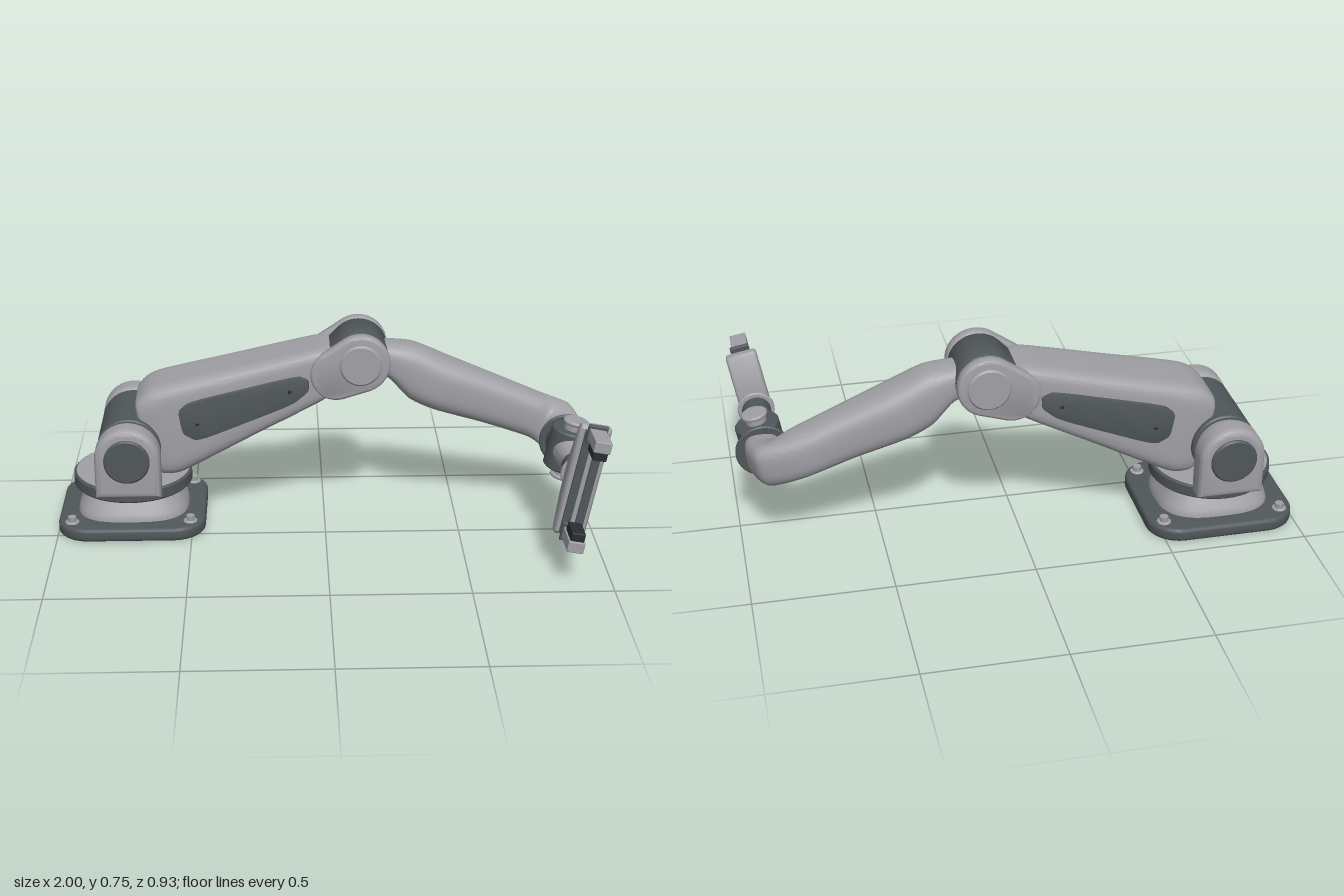
import * as THREE from 'three';
import { toCreasedNormals } from 'three/addons/utils/BufferGeometryUtils.js';
import { RoundedBoxGeometry } from 'three/addons/geometries/RoundedBoxGeometry.js';

const V = (x, y, z) => new THREE.Vector3(x, y, z);
const mat = (name, color) => Object.assign(new THREE.MeshStandardMaterial({ color }), { name });
const CX = -0.725, CZ = -0.19; // base centre; the arm lies in the plane z = CZ

export function createModel() {
  const light = mat('lightGrey', 0xa0a0a5);
  const dark = mat('darkGrey', 0x50575a);
  const rubber = mat('blackRubber', 0x2b2c2e);
  const root = new THREE.Group();
  root.name = 'roboticArm';

  const add = (name, geo, material, parent = root) => {
    const m = new THREE.Mesh(geo, material);
    m.name = name;
    parent.add(m);
    return m;
  };

  // Cylinder between a and b along one axis, with a small chamfer
  const disc = (name, axis, pos, r, a, b, material, parent = root, r2 = r) => {
    const c = Math.min(0.006, (b - a) * 0.3);
    const pts = [[0, a], [r - c, a], [r, a + c], [r2, b - c], [r2 - c, b], [0, b]];
    let g = new THREE.LatheGeometry(pts.map(p => new THREE.Vector2(...p)), 48);
    if (axis === 'z') g.rotateX(Math.PI / 2);
    g = toCreasedNormals(g, 0.5);
    g.translate(...pos);
    return add(name, g, material, parent);
  };

  // Extruded outline from z0 to z1 with bevelled rims
  const slab = (shape, z0, z1, bevel, segs = 4) => {
    const g = new THREE.ExtrudeGeometry(shape, {
      depth: z1 - z0 - 2 * bevel, bevelThickness: bevel, bevelSize: bevel,
      bevelOffset: -bevel, bevelSegments: segs, curveSegments: 28,
    });
    g.translate(0, 0, z0 + bevel);
    return toCreasedNormals(g, 0.6);
  };

  const roundRect = (hx, hy, r) => {
    const s = new THREE.Shape();
    s.absarc(hx - r, hy - r, r, 0, Math.PI / 2);
    s.absarc(-hx + r, hy - r, r, Math.PI / 2, Math.PI);
    s.absarc(-hx + r, -hy + r, r, Math.PI, Math.PI * 1.5);
    s.absarc(hx - r, -hy + r, r, Math.PI * 1.5, Math.PI * 2);
    return s;
  };

  // Outline wrapped round two circles
  const wrap = (x1, y1, r1, x2, y2, r2) => {
    const phi = Math.atan2(y2 - y1, x2 - x1);
    const beta = Math.acos((r1 - r2) / Math.hypot(x2 - x1, y2 - y1));
    const s = new THREE.Shape();
    s.absarc(x1, y1, r1, phi + beta, phi - beta + Math.PI * 2);
    s.absarc(x2, y2, r2, phi - beta, phi + beta);
    return s;
  };

  // Superellipse loft; each section is [centre, half-side vector, half-up vector]
  const loft = (sections, power, steps, n = 48) => {
    const curves = [0, 1, 2].map(k =>
      new THREE.CatmullRomCurve3(sections.map(s => s[k]), false, 'catmullrom', 0.35));
    const pos = [], idx = [];
    const f = v => Math.sign(v) * Math.abs(v) ** (2 / power);
    for (let i = 0; i <= steps; i++) {
      const [c, s, u] = curves.map(k => k.getPoint(i / steps));
      for (let j = 0; j < n; j++) {
        const a = (j / n) * Math.PI * 2;
        pos.push(...c.clone().addScaledVector(s, f(Math.cos(a))).addScaledVector(u, f(Math.sin(a))));
      }
    }
    pos.push(...sections[0][0], ...sections.at(-1)[0]);
    const end = (steps + 1) * n;
    for (let j = 0; j < n; j++) {
      const k = (j + 1) % n;
      for (let i = 0; i < steps; i++) {
        const a = i * n + j, b = i * n + k;
        idx.push(a, b, b + n, a, b + n, a + n);
      }
      idx.push(end, k, j, end + 1, steps * n + j, steps * n + k);
    }
    const g = new THREE.BufferGeometry();
    g.setAttribute('position', new THREE.Float32BufferAttribute(pos, 3));
    g.setIndex(idx);
    return toCreasedNormals(g, 0.7);
  };

  // Base plate, bolts, pedestal and turntable
  const plate = slab(roundRect(0.275, 0.253, 0.12), 0, 0.05, 0.013, 3);
  plate.rotateX(-Math.PI / 2);
  add('basePlate', plate, dark).position.set(CX, 0, CZ);
  for (const sx of [-1, 1]) for (const sz of [-1, 1]) {
    const p = [CX + sx * 0.22, 0, CZ + sz * 0.18];
    disc('boltWasher', 'y', p, 0.026, 0.045, 0.056, light);
    add('baseBolt', new THREE.CylinderGeometry(0.017, 0.017, 0.03, 6).toNonIndexed(), light)
      .position.set(p[0], 0.058, p[2]);
  }
  const ring = (y, hx, hz) => [V(CX, y, CZ), V(0, 0, hz), V(hx, 0, 0)];
  add('pedestal', loft([ring(0.045, 0.21, 0.19), ring(0.07, 0.203, 0.184),
    ring(0.12, 0.178, 0.157), ring(0.147, 0.165, 0.145)], 2.9, 12), light);
  disc('turntable', 'y', [CX, 0, CZ], 0.223, 0.143, 0.193, dark);
  disc('turntableTop', 'y', [CX, 0, CZ], 0.214, 0.188, 0.196, light);

  // Shoulder drum with a yoke on each side
  const SY = 0.33;
  disc('shoulderDrum', 'z', [CX, SY, CZ], 0.118, -0.155, 0.155, dark);
  const arch = new THREE.Shape();
  arch.moveTo(-0.12, -0.15);
  arch.lineTo(0.12, -0.15);
  arch.lineTo(0.12, 0);
  arch.absarc(0, 0, 0.12, 0, Math.PI);
  for (const s of [-1, 1]) {
    add('shoulderYoke', slab(arch, -0.05, 0.05, 0.024, 6), light).position.set(CX, SY, CZ + s * 0.215);
    const side = (a, b) => (s > 0 ? [a, b] : [-b, -a]);
    disc('shoulderCollar', 'z', [CX, SY, CZ], 0.105, ...side(0.14, 0.17), light);
    disc('shoulderCap', 'z', [CX, SY, CZ], 0.084, ...side(0.255, 0.276), dark);
  }

  // Upper arm, given by its top and bottom edge and half width
  const span = (tx, ty, bx, by, hw) => [V((tx + bx) / 2, (ty + by) / 2, CZ), V(0, 0, -hw),
    V((tx - bx) / 2, (ty - by) / 2, 0)];
  add('upperArm', loft([
    span(-0.70, 0.47, -0.635, 0.22, 0.118), span(-0.695, 0.503, -0.605, 0.207, 0.132),
    span(-0.625, 0.553, -0.527, 0.217, 0.138), span(-0.33, 0.622, -0.27, 0.352, 0.129),
    span(-0.035, 0.69, -0.015, 0.485, 0.117), span(0.02, 0.69, 0.03, 0.52, 0.1),
  ], 6, 30, 64), light);

  // Raised side panels, leaning in with the taper of the arm
  const outline = [[-0.54, 0.475], [-0.50, 0.51], [-0.10, 0.603], [-0.058, 0.585],
    [-0.06, 0.54], [-0.12, 0.49], [-0.47, 0.355], [-0.525, 0.385]];
  const panel = new THREE.Shape();
  outline.forEach(([x, y], i) => {
    const [nx, ny] = outline[(i + 1) % outline.length];
    const at = t => [x + (nx - x) * t, y + (ny - y) * t];
    if (i) panel.lineTo(...at(0.25)); else panel.moveTo(...at(0.25));
    panel.lineTo(...at(0.75));
    const [mx, my] = outline[(i + 2) % outline.length];
    panel.quadraticCurveTo(nx, ny, nx + (mx - nx) * 0.25, ny + (my - ny) * 0.25);
  });
  for (const s of [-1, 1]) {
    const g = slab(panel, s > 0 ? 0 : -0.03, s > 0 ? 0.03 : 0, 0.003, 2);
    const p = g.attributes.position;
    const lean = x => s * (0.115 - 0.043 * (x + 0.5));
    for (let i = 0; i < p.count; i++) p.setZ(i, p.getZ(i) + lean(p.getX(i)));
    add('armPanel', g, dark).position.z = CZ;
    for (const [x, y] of [[-0.47, 0.425], [-0.13, 0.543]])
      disc('panelScrew', 'z', [x, y, CZ + lean(x) + s * 0.03], 0.007, -0.004, 0.004, rubber);
  }

  // Elbow: dark hub between two light cheeks with round caps
  add('elbowHub', slab(wrap(0.13, 0.645, 0.107, 0.065, 0.61, 0.085), -0.086, 0.086, 0.005), dark).position.z = CZ;
  for (const s of [-1, 1]) {
    add('elbowCheek', slab(wrap(0.13, 0.645, 0.109, 0.042, 0.603, 0.095), -0.024, 0.024, 0.012), light)
      .position.z = CZ + s * 0.112;
    disc('elbowCap', 'z', [0.13, 0.645, CZ + s * 0.137], 0.077, -0.01, 0.01, light);
  }

  // Forearm, bending forward at its end
  add('forearm', loft([
    span(0.16, 0.70, 0.17, 0.58, 0.072), span(0.24, 0.692, 0.24, 0.555, 0.075),
    span(0.335, 0.68, 0.315, 0.475, 0.086), span(0.47, 0.62, 0.41, 0.43, 0.094),
    span(0.64, 0.548, 0.59, 0.375, 0.083), span(0.81, 0.475, 0.765, 0.313, 0.074),
    [V(0.868, 0.358, -0.17), V(0.054, 0, -0.054), V(0.018, 0.083, 0)],
    [V(0.892, 0.345, -0.115), V(0.066, 0, -0.008), V(0.008, 0.077, 0)],
    [V(0.895, 0.34, -0.055), V(0.066, 0, 0), V(0.005, 0.072, 0)],
  ], 3, 56), light);

  // Wrist and gripper share one tilted frame
  const hand = new THREE.Group();
  hand.name = 'wristAndGripper';
  hand.position.set(0.896, 0.342, 0);
  hand.rotation.z = -0.185;
  root.add(hand);
  const O = [0, 0, 0];
  disc('wristFlange', 'z', O, 0.1, -0.065, -0.05, dark, hand);
  disc('wristNeck', 'z', O, 0.076, -0.055, 0.02, dark, hand);
  disc('wristJoint', 'y', [0, 0, 0.018], 0.08, -0.078, 0.078, dark, hand);
  for (const s of [-1, 1]) {
    const cap = new THREE.Group();
    cap.name = 'wristCap';
    cap.rotation.x = s > 0 ? 0 : Math.PI;
    cap.position.z = 0.025;
    hand.add(cap);
    disc('wristCapStem', 'y', O, 0.038, 0.07, 0.105, light, cap);
    disc('wristCapTop', 'y', O, 0.047, 0.1, 0.115, light, cap);
  }
  disc('nozzle', 'z', O, 0.069, 0.04, 0.178, light, hand, 0.048);
  disc('toolCoupling', 'z', O, 0.053, 0.172, 0.248, dark, hand);
  disc('toolPlate', 'z', O, 0.068, 0.245, 0.26, light, hand);

  // Gripper body, profiled in depth and height
  const profile = new THREE.Shape([[0.255, -0.07], [0.285, -0.2], [0.295, -0.213], [0.318, -0.213],
    [0.328, -0.2], [0.328, 0.2], [0.318, 0.213], [0.295, 0.213], [0.285, 0.2], [0.255, 0.07]]
    .map(p => new THREE.Vector2(...p)));
  const body = slab(profile, -0.057, 0.057, 0.012);
  body.rotateY(-Math.PI / 2);
  add('gripperBody', body, light, hand);
  const box = (name, w, h, y, z0, z1, material, x = 0) =>
    add(name, new RoundedBoxGeometry(w, h, z1 - z0, 2, 0.004), material, hand).position.set(x, y, (z0 + z1) / 2);
  for (const s of [-1, 1]) box('gripperRail', 0.03, 0.4, 0, 0.318, 0.336, dark, s * 0.024);
  box('railDivider', 0.016, 0.4, 0, 0.318, 0.333, light);
  for (const s of [-1, 1]) {
    box('fingerMount', 0.07, 0.07, s * 0.19, 0.334, 0.35, dark);
    box('finger', 0.06, 0.042, s * 0.192, 0.345, 0.465, light);
    box('fingerPad', 0.05, 0.034, s * 0.157, 0.363, 0.458, rubber);
  }
  return root;
}
